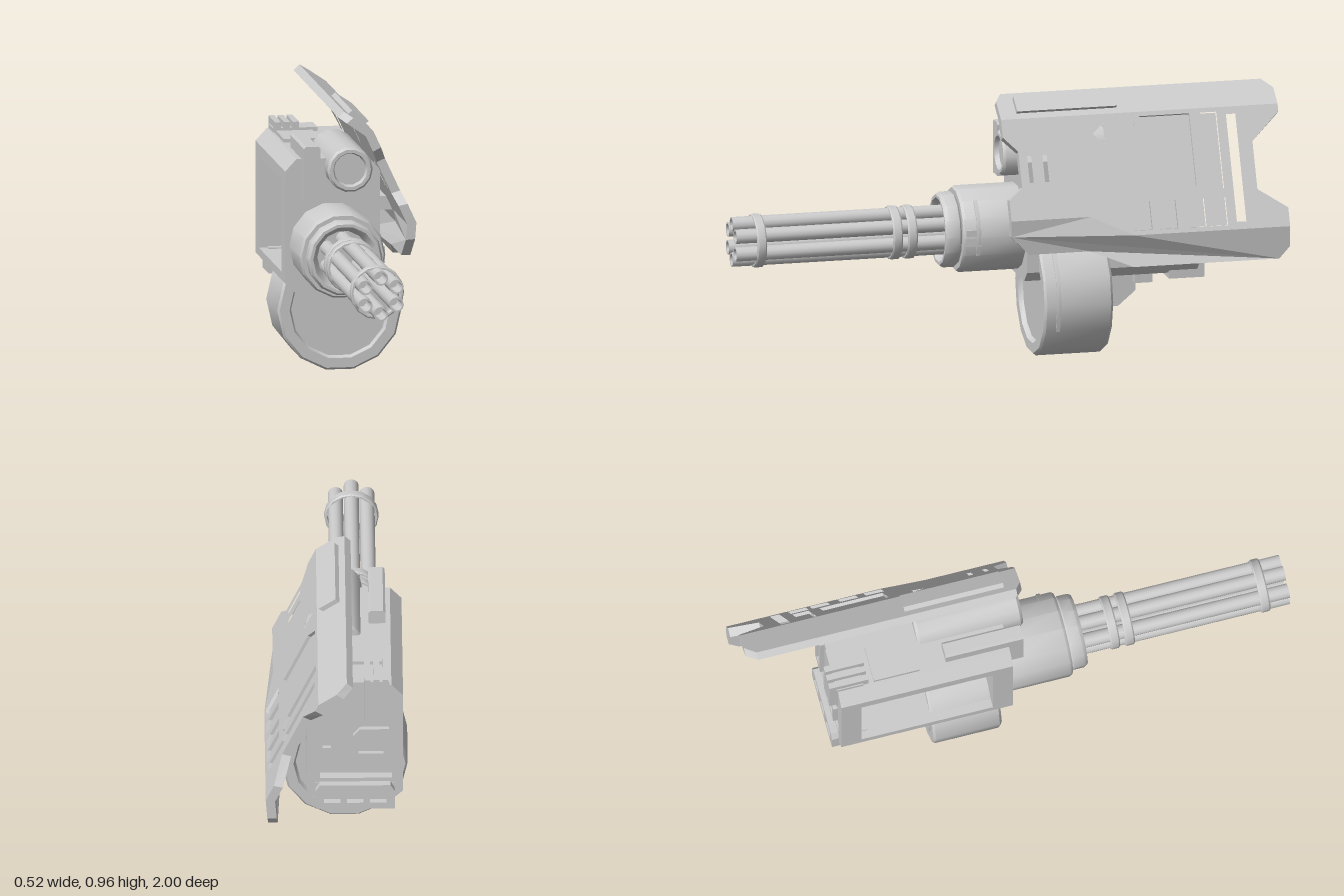
import * as THREE from 'three';
import { toCreasedNormals } from 'three/addons/utils/BufferGeometryUtils.js';

const mat = new THREE.MeshStandardMaterial({ color: 0xcccccc });
const matDouble = new THREE.MeshStandardMaterial({ color: 0xcccccc, side: THREE.DoubleSide });

export function createModel() {
  const model = new THREE.Group();

  const add = (name, geo, x = 0, y = 0, z = 0, m = mat) => {
    const mesh = new THREE.Mesh(geo, m);
    mesh.name = name;
    mesh.position.set(x, y, z);
    model.add(mesh);
    return mesh;
  };
  // Box given by its limits
  const box = (name, x0, x1, y0, y1, z0, z1) =>
    add(name, new THREE.BoxGeometry(x1 - x0, y1 - y0, z1 - z0), (x0 + x1) / 2, (y0 + y1) / 2, (z0 + z1) / 2);
  // Turned part along z; profile is [radius, z] from back to front
  const turned = (name, profile, x, y, sides = 14, start = Math.PI / 2, sweep = Math.PI * 2, m = mat) => {
    const g = new THREE.LatheGeometry(profile.map(p => new THREE.Vector2(...p)), sides, start, sweep);
    g.rotateX(Math.PI / 2);
    return add(name, toCreasedNormals(g, 0.6), x, y, 0, m);
  };
  const shapeOf = (pts, holes = []) => {
    const s = new THREE.Shape(pts.map(p => new THREE.Vector2(...p)));
    holes.forEach(h => s.holes.push(new THREE.Path(h.map(p => new THREE.Vector2(...p)))));
    return s;
  };
  const extrude = (shape, depth) =>
    new THREE.ExtrudeGeometry(shape, { depth, bevelEnabled: false, steps: 1 });
  const rect = (a0, a1, b0, b1) => [[a0, b0], [a1, b0], [a1, b1], [a0, b1]];
  // Slab with an outline in x, y, extruded from z0 to z1
  const slab = (name, pts, holes, z0, z1) => add(name, extrude(shapeOf(pts, holes), z1 - z0), 0, 0, z0);

  // ---- Rotary barrels ----
  const cx = -0.068, cy = 0.472;
  for (let i = 0; i < 6; i++) {
    const a = Math.PI / 2 + (i * Math.PI) / 3;
    turned('barrel', [[0, 0.15], [0.027, 0.15], [0.027, 1], [0.021, 1], [0.021, 0.9], [0, 0.9]],
      cx + 0.0655 * Math.cos(a), cy + 0.0655 * Math.sin(a), 12);
  }
  for (const [z0, z1] of [[0.33, 0.365], [0.385, 0.42], [0.89, 0.925]]) {
    turned('barrelBand', [[0.088, z0], [0.094, z0], [0.098, z0 + 0.005], [0.098, z1 - 0.005],
      [0.094, z1], [0.088, z1], [0.088, z0]], cx, cy, 16);
  }

  // ---- Barrel housing and collar ----
  turned('barrelHousing', [[0, -0.06], [0.157, -0.06], [0.157, 0.165], [0.15, 0.175], [0.13, 0.175],
    [0.137, 0.182], [0.137, 0.222], [0.129, 0.235], [0.118, 0.235], [0.1, 0.21], [0.094, 0.18], [0, 0.18]], cx, cy);
  const step = Math.PI / 7;
  turned('housingStrap', [[0.155, 0.112], [0.162, 0.112], [0.162, 0.126], [0.155, 0.126]],
    cx, cy, 3, Math.PI / 2 - step, step * 3, matDouble);
  box('housingLug', 0.05, 0.088, 0.44, 0.5, 0.11, 0.165);

  // ---- Ammunition drum ----
  const drum = [[0, -0.338], [0.176, -0.338], [0.184, -0.355], [0.22, -0.355], [0.228, -0.346],
    [0.228, -0.109], [0.22, -0.1], [0.184, -0.1], [0.176, -0.117], [0, -0.117]];
  turned('ammoDrum', drum, -0.032, 0.228);
  turned('drumStrap', [[0.226, -0.16], [0.232, -0.16], [0.232, -0.145], [0.226, -0.145]],
    -0.032, 0.228, 3, Math.PI / 2 - step, step * 3, matDouble);

  // ---- Body: chamfered section, opened into a window on the right side ----
  const lowerEdge = [[-0.24, 0.335], [-0.198, 0.295], [0.063, 0.295], [0.106, 0.335]];
  const upperEdge = [[0.106, 0.745], [0.063, 0.79], [-0.198, 0.79], [-0.24, 0.745]];
  const solid = [...lowerEdge, ...upperEdge];
  const notched = [...solid, [-0.24, 0.7], [-0.1, 0.7], [-0.1, 0.365], [-0.24, 0.365]];
  slab('bodyFront', solid, [], -0.13, -0.055);
  slab('bodyWindow', notched, [], -0.62, -0.13);
  slab('bodyBack', solid, [], -0.66, -0.62);
  slab('backFrame', solid, [rect(-0.2, 0.06, 0.39, 0.47)], -0.695, -0.66);

  // Back panel details
  slab('rearLedge', [[-0.21, 0.275], [0.075, 0.275], [0.075, 0.35], [0.06, 0.375], [-0.195, 0.375], [-0.21, 0.35]],
    [0, 1, 2].map(i => rect(-0.18 + i * 0.083, -0.12 + i * 0.083, 0.3, 0.35)), -0.722, -0.695);
  box('rearLedgeBase', -0.21, 0.075, 0.275, 0.37, -0.697, -0.59);
  slab('rearSidePanel', rect(0.0, 0.07, 0.5, 0.775), [rect(0.02, 0.05, 0.53, 0.74)], -0.712, -0.695);
  slab('rearScreenFrame', [[-0.19, 0.49], [-0.06, 0.49], [-0.06, 0.58], [-0.085, 0.61], [-0.19, 0.61]],
    [rect(-0.17, -0.08, 0.505, 0.57)], -0.712, -0.695);
  for (let i = 0; i < 3; i++) {
    const x = -0.188 + i * 0.033;
    box('coolingFin', x, x + 0.022, 0.65, 0.83, -0.725, -0.58);
  }
  box('finBase', -0.192, -0.03, 0.64, 0.805, -0.7, -0.6);

  // Top and side details
  box('topPanel', -0.188, -0.055, 0.78, 0.803, -0.56, -0.39);
  slab('topBlock', [[-0.18, 0.645], [-0.12, 0.645], [-0.12, 0.835], [-0.128, 0.843], [-0.172, 0.843], [-0.18, 0.835]],
    [], -0.29, 0);
  box('sidePanel', 0.1, 0.113, 0.44, 0.68, -0.5, -0.15);
  box('plateStrut', 0.1, 0.195, 0.55, 0.6, -0.5, -0.3);

  // Sight tube on top
  turned('sightTube', [[0, -0.37], [0.075, -0.37], [0.083, -0.36], [0.083, 0.012], [0.075, 0.022],
    [0.063, 0.022], [0.057, 0.005], [0, 0.005]], -0.014, 0.758);

  // Bracket under the body; outline in -z, y
  const bracket = extrude(shapeOf([[0.34, 0.17], [0.415, 0.17], [0.48, 0.225], [0.48, 0.3], [0.34, 0.3]]), 0.085);
  bracket.rotateY(Math.PI / 2);
  add('underBracket', bracket, -0.07);
  box('underBlock', -0.13, 0.05, 0.26, 0.3, -0.535, -0.47);

  // ---- Bent armour plate: flat outlines in z, y folded along two creases ----
  const fold1 = 0.9;
  const fold2 = z => THREE.MathUtils.clamp(0.56 - (-0.262 - z) * 0.4516, 0.49, 0.56);
  const mid = y => 0.068 + (fold1 - y) * 0.463;
  const lerp = THREE.MathUtils.lerp;
  const bend = (y, z) => {
    const f2 = fold2(z);
    if (y >= fold1) {
      const t = (y - fold1) / 0.07;
      return [lerp(0.068, -0.035, t), lerp(-0.028, -0.022, t), lerp(-0.018, -0.02, t)];
    }
    if (y >= f2) {
      const t = (fold1 - y) / (fold1 - f2);
      return [mid(y), lerp(-0.028, -0.034, t), lerp(-0.018, -0.005, t)];
    }
    return [mid(f2) - (f2 - y) * 0.08, -0.034, lerp(-0.005, 0, Math.min(1, (f2 - y) / 0.12))];
  };
  // k runs through the thickness: 0 is the inner face, 1 the outer
  const sheet = (name, pts, holes = [], k0 = 0, k1 = 1) => {
    const flip = list => list.map(([z, y]) => [-z, y]);
    const g = extrude(shapeOf(flip(pts), holes.map(flip)), k1 - k0);
    const p = g.attributes.position;
    for (let i = 0; i < p.count; i++) {
      const z = -p.getX(i), y = p.getY(i), k = 1 - (p.getZ(i) + k0);
      const [x, dx, dy] = bend(y, z);
      p.setXYZ(i, x + dx * k, y + dy * k, z);
    }
    g.computeVertexNormals();
    add(name, g);
  };

  // Openings: vent slots go right through, recesses get a floor
  const vents = [
    rect(-0.835, -0.8, 0.515, 0.875),
    rect(-0.065, -0.05, 0.685, 0.775),
    rect(-0.123, -0.107, 0.685, 0.775),
    [[-0.3, 0.835], [-0.342, 0.87], [-0.342, 0.8]],
  ];
  const recesses = [
    [[-0.43, 0.64], [-0.665, 0.64], [-0.665, 0.885], [-0.48, 0.885], [-0.43, 0.83]],
    rect(-0.765, -0.705, 0.63, 0.885),
    ...[-0.42, -0.515, -0.62, -0.7].map(z => rect(z - 0.066, z, 0.505, 0.6)),
  ];
  sheet('plateTop', [[0.01, 0.97], [-0.957, 0.97], [-0.995, 0.945], [-0.995, fold1], [0.032, fold1], [0.032, 0.95]]);
  sheet('plateMiddle', [[0.032, fold1], [-0.995, fold1], [-0.995, 0.875], [-0.888, 0.78], [-0.888, 0.62],
    [-0.995, 0.553], [-0.995, 0.49], [-0.417, 0.49], [-0.262, 0.56], [0.032, 0.56], [0.032, 0.63],
    [-0.02, 0.67], [-0.02, 0.79], [0.032, 0.84]], [...vents, ...recesses]);
  sheet('plateBottom', [[0.032, 0.56], [-0.262, 0.56], [-0.417, 0.49], [-0.995, 0.49], [-0.995, 0.414],
    [-0.957, 0.37], [-0.417, 0.37], [-0.262, 0.43], [-0.037, 0.43], [0.032, 0.5]]);
  recesses.forEach(r => sheet('plateRecessFloor', r, [], 0, 0.65));
  sheet('plateRail', rect(-0.4, -0.03, 0.915, 0.955), [], 0.9, 1.6);

  return model;
}
